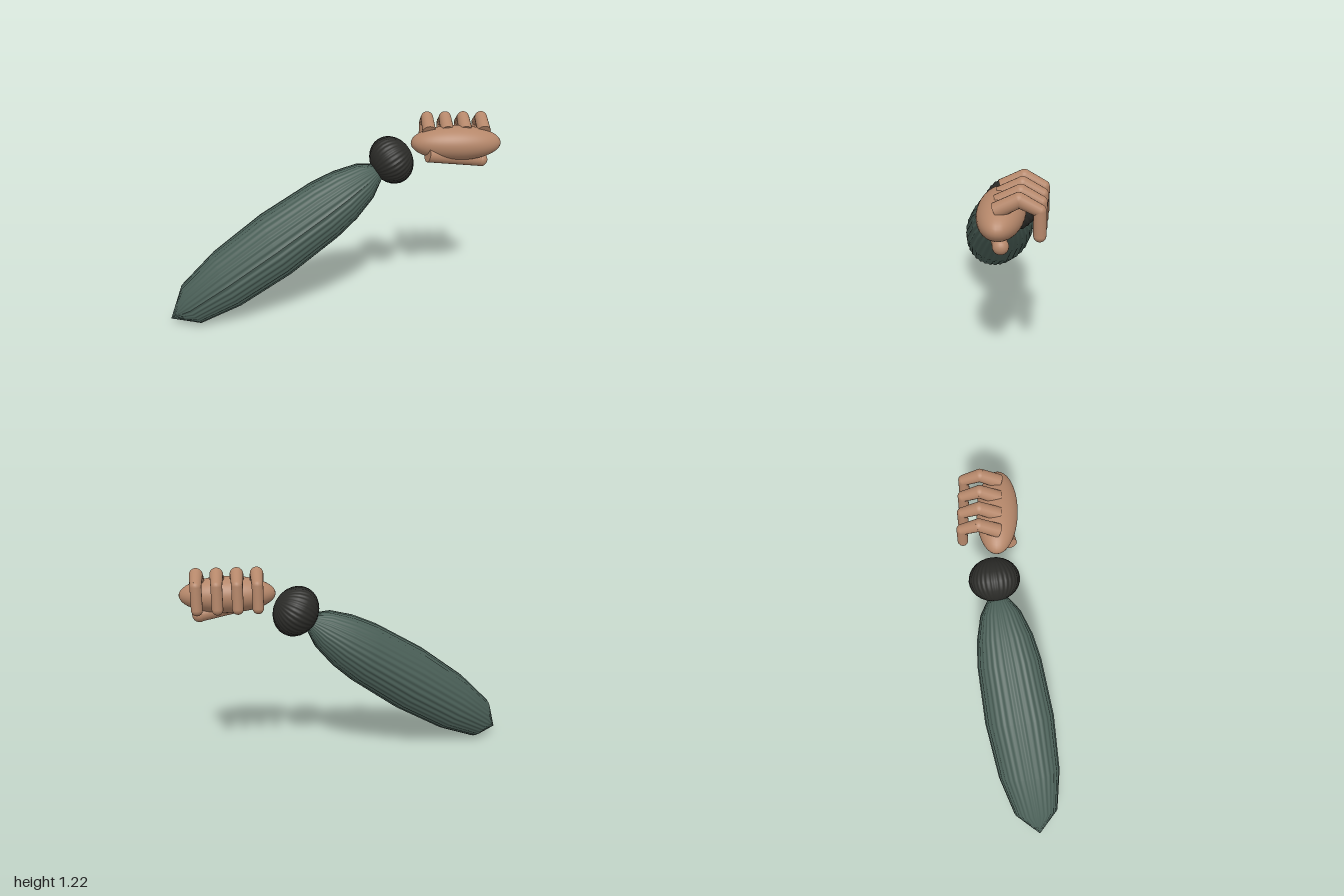
import * as THREE from 'three';

const mat = (color) => new THREE.MeshStandardMaterial({ color, side: THREE.DoubleSide });
const cloth = mat(0x4a5f57), dark = mat(0x2b2b28), skin = mat(0xb5876a);
const UP = new THREE.Vector3(0, 1, 0);
const V = (x, y, z) => new THREE.Vector3(x, y, z);

function add(parent, name, geometry, material) {
  const mesh = new THREE.Mesh(geometry, material);
  mesh.name = name;
  parent.add(mesh);
  return mesh;
}

// Lathe whose radius is rippled into lengthwise ribs
function ribbedLathe(points, ribs, depth) {
  const g = new THREE.LatheGeometry(points.map(([r, y]) => new THREE.Vector2(r, y)), ribs * 6);
  const p = g.attributes.position;
  for (let i = 0; i < p.count; i++) {
    const a = Math.atan2(p.getX(i), p.getZ(i));
    const k = 1 + depth * Math.cos(a * ribs);
    p.setXYZ(i, p.getX(i) * k, p.getY(i), p.getZ(i) * k);
  }
  g.computeVertexNormals();
  return g;
}

// Tapered limb between two points
function limb(parent, name, a, b, ra, rb) {
  const d = b.clone().sub(a);
  const m = add(parent, name, new THREE.CylinderGeometry(rb, ra, d.length(), 20), skin);
  m.position.copy(a).addScaledVector(d, 0.5);
  m.quaternion.setFromUnitVectors(UP, d.normalize());
}

function ball(parent, name, at, r) {
  add(parent, name, new THREE.SphereGeometry(r, 20, 14), skin).position.copy(at);
}

export function createModel() {
  const model = new THREE.Group();
  model.name = 'arm';

  // Sleeve: ribbed spindle inside a group narrowed along x
  const squash = 0.85;
  const sleeveGroup = new THREE.Group();
  sleeveGroup.name = 'sleeveGroup';
  sleeveGroup.scale.x = squash;
  model.add(sleeveGroup);
  const start = V(-1 / squash, 0.03, 0.19), end = V(0.28 / squash, 0.88, -0.085);
  const axis = end.clone().sub(start), len = axis.length();
  const profile = [[0.001, 0], [0.134, 0.1], [0.188, 0.27], [0.208, 0.5], [0.19, 0.73],
    [0.165, 0.83], [0.118, 0.925], [0.05, 0.99], [0.001, 1]].map(([r, t]) => [r, t * len]);
  const sleeve = add(sleeveGroup, 'sleeve', ribbedLathe(profile, 32, 0.018), cloth);
  sleeve.position.copy(start);
  sleeve.quaternion.setFromUnitVectors(UP, axis.normalize());

  // Cuff: ribbed, slightly flattened ball
  const arc = [];
  for (let i = 0; i <= 14; i++) {
    const a = Math.PI * i / 14;
    arc.push([Math.max(0.001, 0.148 * Math.sin(a)), -0.127 * Math.cos(a)]);
  }
  const cuff = add(model, 'cuff', ribbedLathe(arc, 32, 0.015), dark);
  cuff.position.set(0.345, 0.935, -0.1);
  cuff.quaternion.setFromUnitVectors(UP, V(0.84, 0.52, -0.12).normalize());

  // Palm
  const hand = new THREE.Group();
  hand.name = 'hand';
  model.add(hand);
  const palm = add(hand, 'palm', new THREE.SphereGeometry(1, 40, 28), skin);
  palm.scale.set(0.27, 0.103, 0.121);
  palm.position.set(0.727, 1.043, -0.087);

  // Four curled fingers, three segments each
  for (let i = 0; i < 4; i++) {
    const finger = new THREE.Group();
    finger.name = 'finger' + (i + 1);
    finger.position.x = 0.563 + i * 0.109;
    hand.add(finger);
    const joints = [V(0, 1.115, -0.075), V(0, 1.174, -0.185), V(0, 1.125, -0.283), V(0, 0.999, -0.285)];
    const radii = [0.04, 0.037, 0.031, 0.031];
    for (let j = 0; j < 3; j++) {
      limb(finger, 'fingerSegment', joints[j], joints[j + 1], radii[j], radii[j + 1]);
      ball(finger, 'fingerJoint', joints[j + 1], radii[j + 1]);
    }
  }

  // Thumb running under the palm
  const thumbTip = V(0.888, 0.933, -0.1);
  limb(hand, 'thumb', V(0.55, 0.99, -0.012), thumbTip, 0.043, 0.039);
  ball(hand, 'thumbTip', thumbTip, 0.041);

  return model;
}
